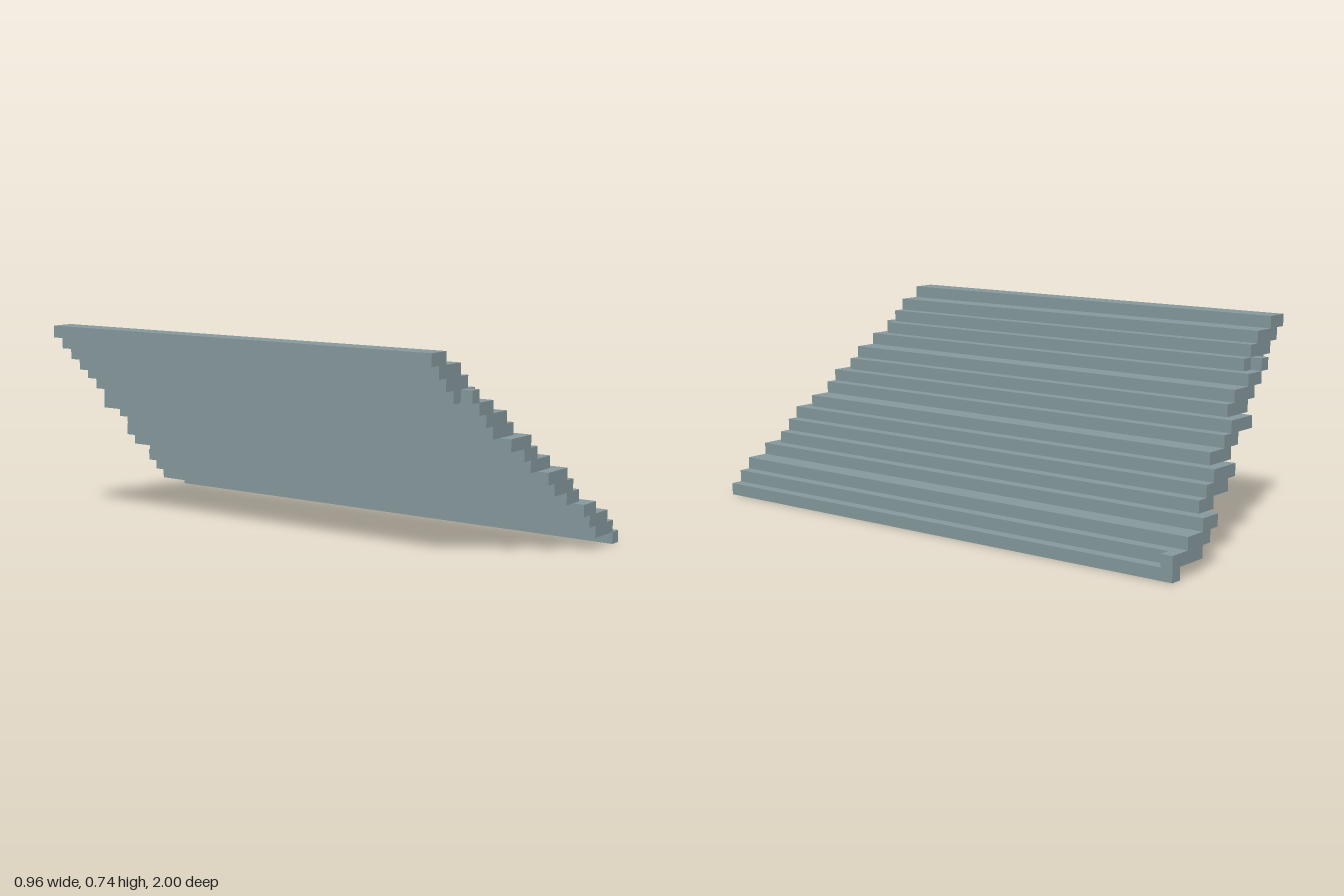
import * as THREE from 'three';

const U = 1 / 23; // block unit: the model is 22 x 17 x 46 units

export function createModel() {
  const slate = new THREE.MeshStandardMaterial({ color: 0x869a9e });
  slate.name = 'slateGrey';
  const model = new THREE.Group();
  model.name = 'steppedSlope';

  // Box spanning x0..x1 and z0..z1 units on one level
  function addBlock(name, level, x0, x1, z0, z1) {
    const geo = new THREE.BoxGeometry((x1 - x0) * U, U, (z1 - z0) * U);
    const mesh = new THREE.Mesh(geo, slate);
    mesh.name = name;
    mesh.position.set((x0 + x1) / 2 * U, (level + 0.5) * U, (z0 + z1) / 2 * U);
    model.add(mesh);
  }

  // Treads from the bottom up: [x start, x end, half length]
  const treads = [
    [10, 11, 23], [7, 10, 23], [6, 9, 23], [5, 7, 23],
    [4, 6, 22], [2, 5, 22], [1, 4, 22],
    [0, 3, 21], [-1, 1, 21], [-3, 0, 21],
    [-4, -1, 20], [-5, -2, 20], [-6, -4, 20],
    [-8, -5, 19], [-9, -6, 19], [-10, -7, 19], [-11, -9, 19],
  ];
  treads.forEach(([x0, x1, half], level) => addBlock(`tread${level + 1}`, level, x0, x1, -half, half));

  // Small end blocks beside the upper tread, one at each end
  addBlock('frontEndBlock', 13, -7, -6, 19, 20);
  addBlock('backEndBlock', 13, -7, -6, -20, -19);

  // Single corner block on the lowest tread
  addBlock('cornerBlock', 1, 10, 11, -23, -22);

  return model;
}
